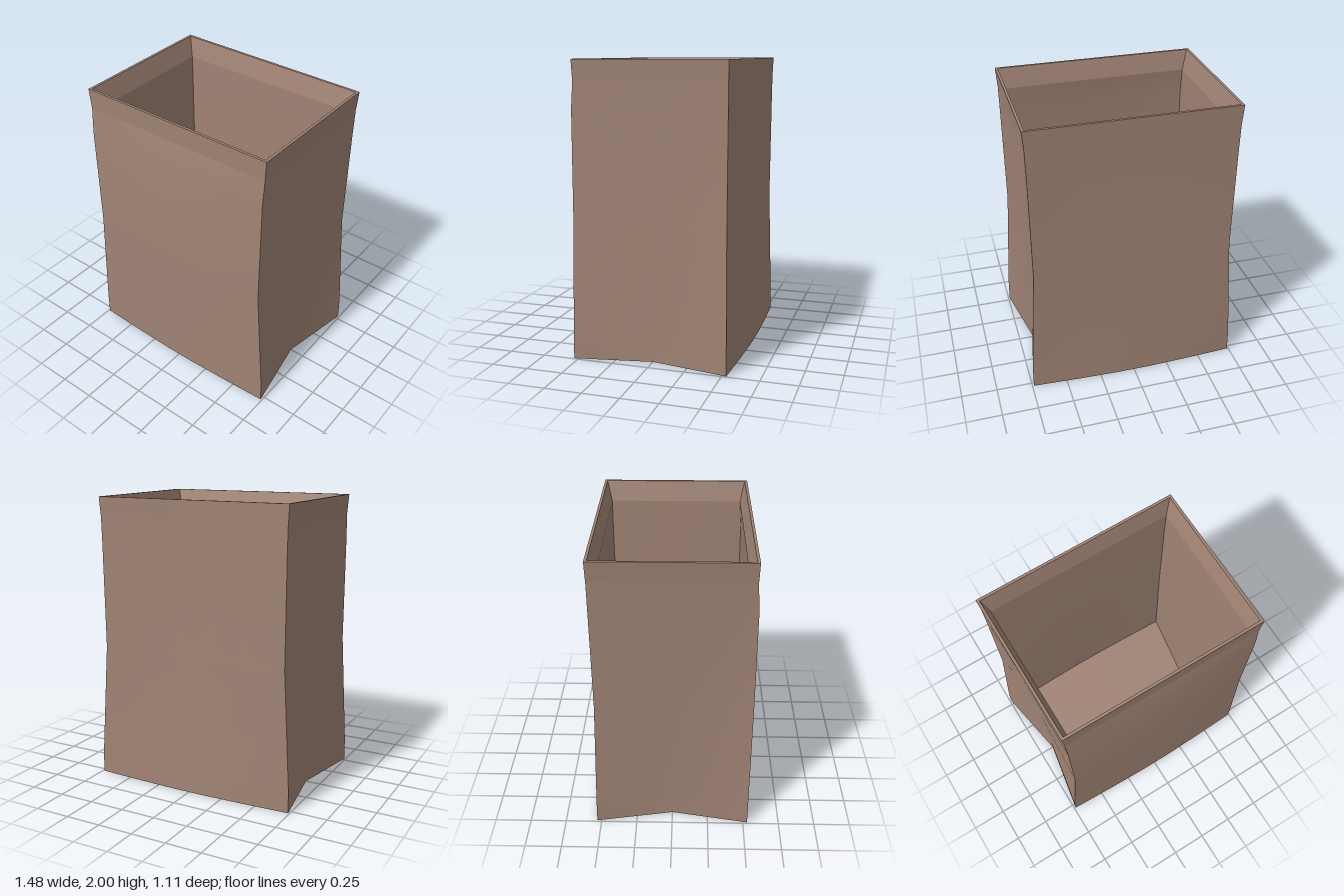
import * as THREE from 'three';
import { toCreasedNormals } from 'three/addons/utils/BufferGeometryUtils.js';

// One horizontal outline: corner and middle half-widths, front and back depths
function ring(y, cx, mx, cf, mf, cb, mb) {
  const pts = [];
  const steps = [-1, -0.55, -0.16, 0.16, 0.55, 1];
  const bulge = [0, 0.62, 1, 1, 0.62, 0];
  steps.forEach((s, i) => pts.push([s * cx, y, cf + (mf - cf) * bulge[i]]));
  pts.push([mx, y, 0]);
  steps.forEach((s, i) => pts.push([-s * cx, y, -(cb + (mb - cb) * bulge[i])]));
  pts.push([-mx, y, 0]);
  return pts;
}

const box = (y, x, z) => ring(y, x, x, z, z, z, z);
const point = (y) => ring(y, 0, 0, 0, 0, 0, 0);

// Skin through successive outlines
function skin(rows) {
  const pos = [];
  for (let r = 0; r + 1 < rows.length; r++) {
    const lo = rows[r], hi = rows[r + 1], n = lo.length;
    for (let i = 0; i < n; i++) {
      const j = (i + 1) % n;
      pos.push(...lo[i], ...lo[j], ...hi[j], ...lo[i], ...hi[j], ...hi[i]);
    }
  }
  const g = new THREE.BufferGeometry();
  g.setAttribute('position', new THREE.Float32BufferAttribute(pos, 3));
  return toCreasedNormals(g, 0.5);
}

export function createModel() {
  const group = new THREE.Group();
  const paper = new THREE.MeshStandardMaterial({ color: 0xa08374 });
  paper.name = 'brownPaper';

  // Outer walls: flared base, pinched side gussets, bulging front
  const outer = [
    ring(0, 0.74, 0.645, 0.53, 0.55, 0.53, 0.555),
    ring(0.16, 0.738, 0.645, 0.53, 0.55, 0.528, 0.55),
    ring(0.95, 0.69, 0.66, 0.535, 0.548, 0.512, 0.515),
    ring(1.68, 0.695, 0.69, 0.53, 0.545, 0.515, 0.515),
    box(1.86, 0.698, 0.516),
  ];
  // Inner walls, from the hem down to the floor
  const floorRing = ring(0.05, 0.675, 0.6, 0.485, 0.5, 0.485, 0.5);
  const inner = [
    box(1.86, 0.652, 0.47),
    ring(1.68, 0.65, 0.648, 0.485, 0.495, 0.47, 0.47),
    ring(0.95, 0.648, 0.625, 0.488, 0.5, 0.468, 0.47),
    floorRing,
  ];
  // Folded hem around the opening
  const hem = [
    outer[4], box(2, 0.708, 0.52), box(2, 0.69, 0.502), inner[0],
  ];

  const parts = {
    outerWalls: outer,
    innerWalls: inner,
    topHem: hem,
    base: [point(0), outer[0]],
    floor: [floorRing, point(0.05)],
  };
  for (const [name, rows] of Object.entries(parts)) {
    const mesh = new THREE.Mesh(skin(rows), paper);
    mesh.name = name;
    group.add(mesh);
  }
  group.name = 'paperBag';
  return group;
}
